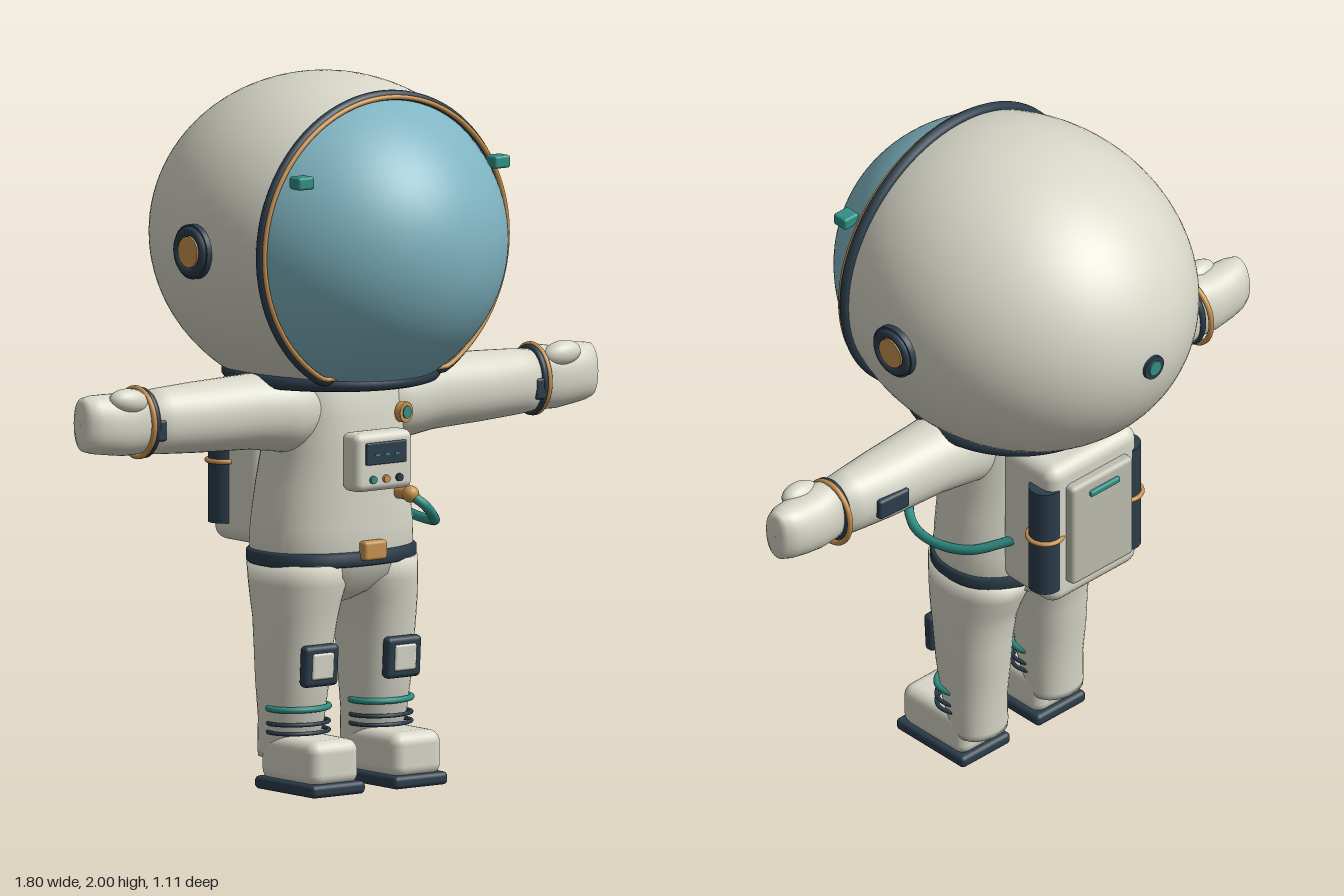
import * as THREE from 'three';
import { RoundedBoxGeometry } from 'three/addons/geometries/RoundedBoxGeometry.js';

const mat = (name, color) => new THREE.MeshStandardMaterial({ name, color });
const suit = mat('suit white', 0xd8d7c9);
const glass = mat('visor blue', 0x7fb4c2);
const navy = mat('navy trim', 0x2b3d4b);
const orange = mat('copper', 0xc8924f);
const teal = mat('teal', 0x2f8f84);
const grey = mat('panel grey', 0xbcbcaf);

// Skin over cross-sections [t, cu, cv, ru, rv]; stands along y, or along x when side is +1 / -1
function loft(rows, side = 0, p = 0.88, n = 40) {
  const pos = [], idx = [];
  const first = rows[0], last = rows[rows.length - 1];
  const all = [[first[0], first[1], first[2], 0.001, 0.001], ...rows, [last[0], last[1], last[2], 0.001, 0.001]];
  const pw = (c) => Math.sign(c) * Math.abs(c) ** p;
  all.forEach(([t, cu, cv, ru, rv], i) => {
    for (let j = 0; j < n; j++) {
      const a = (j / n) * Math.PI * 2;
      const u = cu + ru * pw(Math.cos(a)), v = cv + rv * pw(Math.sin(a));
      pos.push(...(side ? [t * side, v, u] : [u, t, v]));
      if (i === all.length - 1) continue;
      const k = (j + 1) % n, A = i * n + j, B = i * n + k, C = A + n, D = B + n;
      idx.push(...(side < 0 ? [A, B, C, B, D, C] : [A, C, B, B, C, D]));
    }
  });
  const g = new THREE.BufferGeometry();
  g.setAttribute('position', new THREE.Float32BufferAttribute(pos, 3));
  g.setIndex(idx);
  g.computeVertexNormals();
  return g;
}

// Closed tube around an ellipse given by a point function of the angle
function hoop(point, r, n = 72) {
  const pts = [];
  for (let i = 0; i < n; i++) pts.push(new THREE.Vector3(...point((i / n) * Math.PI * 2)));
  return new THREE.TubeGeometry(new THREE.CatmullRomCurve3(pts, true), n * 2, r, 10, true);
}

const box = (w, h, d, r = 0.01) => new RoundedBoxGeometry(w, h, d, 3, r);
const disc = (r, h) => new THREE.CylinderGeometry(r, r, h, 32);

// Part of the helmet ellipsoid around the z axis, flattened at the neck
function helmetPart(from, to) {
  const g = new THREE.SphereGeometry(1, 80, 40, 0, Math.PI * 2, from, to - from);
  g.rotateX(Math.PI / 2).scale(0.47, 0.46, 0.55).translate(0, 1.54, 0);
  const p = g.attributes.position, nm = g.attributes.normal;
  for (let i = 0; i < p.count; i++) {
    if (p.getY(i) < 1.165) {
      p.setY(i, 1.165);
      nm.setXYZ(i, 0, -1, 0);
    }
  }
  return g;
}

export function createModel() {
  const model = new THREE.Group();
  model.name = 'astronaut';
  const add = (name, geo, material, x = 0, y = 0, z = 0, rx = 0, ry = 0, rz = 0) => {
    const m = new THREE.Mesh(geo, material);
    m.name = name;
    m.position.set(x, y, z);
    m.rotation.set(rx, ry, rz);
    model.add(m);
    return m;
  };
  const H = Math.PI / 2;

  // Helmet
  const cut = Math.acos(0.25 / 0.55);
  add('visor', helmetPart(0, cut), glass);
  add('helmetShell', helmetPart(cut, Math.PI), suit);
  const rim = (rx, ry, z, low) => (a) => [rx * Math.cos(a), Math.max(low, 1.54 + ry * Math.sin(a)), z];
  add('visorRim', hoop(rim(0.425, 0.42, 0.245, 1.178), 0.016), navy);
  add('visorTrim', hoop(rim(0.427, 0.417, 0.262, 1.182), 0.007), orange);
  add('neckRing', hoop((a) => [0.28 * Math.cos(a), 1.163, 0.012 + 0.292 * Math.sin(a)], 0.022), navy);
  add('rearPort', disc(0.036, 0.03), navy, 0, 1.53, -0.543, H);
  add('rearPortCap', disc(0.022, 0.02), teal, 0, 1.53, -0.553, H);
  for (const s of [1, -1]) {
    add('earCap', disc(0.077, 0.04), navy, s * 0.462, 1.535, -0.005, 0, 0, H);
    add('earRing', new THREE.TorusGeometry(0.058, 0.014, 10, 36), navy, s * 0.481, 1.535, -0.005, 0, H);
    add('earButton', disc(0.044, 0.02), orange, s * 0.482, 1.535, -0.005, 0, 0, H);
    add('helmetLamp', box(0.055, 0.036, 0.05, 0.008), teal, s * 0.345, 1.755, 0.325);
  }

  // Torso with hips
  add('torso', loft([
    [0.52, 0, 0.01, 0.03, 0.06], [0.55, 0, 0.01, 0.09, 0.12], [0.6, 0, 0.012, 0.225, 0.162],
    [0.66, 0, 0.012, 0.243, 0.178], [0.74, 0, 0.012, 0.241, 0.178], [0.85, 0, 0.015, 0.225, 0.174],
    [0.95, 0, 0.018, 0.205, 0.17], [1.05, 0, 0.02, 0.203, 0.162], [1.13, 0, 0.02, 0.2, 0.15],
    [1.18, 0, 0.02, 0.18, 0.13]]), suit);
  add('belt', loft([
    [0.632, 0, 0.012, 0.245, 0.18], [0.64, 0, 0.012, 0.252, 0.188],
    [0.666, 0, 0.012, 0.252, 0.188], [0.674, 0, 0.012, 0.245, 0.18]]), navy);
  add('buckle', box(0.08, 0.055, 0.035), orange, 0, 0.677, 0.203);

  // Chest control box
  add('chestBox', box(0.2, 0.165, 0.08, 0.022), suit, 0, 0.933, 0.22);
  add('chestScreen', box(0.14, 0.062, 0.014, 0.004), navy, 0, 0.958, 0.261);
  [teal, orange, navy].forEach((m, i) => add('chestButton', disc(0.011, 0.014), m, (i - 1) * 0.046, 0.885, 0.262, H));
  for (const s of [-1, 0, 1]) add('screenMark', new THREE.BoxGeometry(0.016, 0.005, 0.004), teal, s * 0.035, 0.955, 0.268);
  add('badge', disc(0.029, 0.02), orange, 0.135, 1.05, 0.168, H, 0, -0.25);
  add('badgeCentre', disc(0.018, 0.024), teal, 0.136, 1.05, 0.169, H, 0, -0.25);

  // Air hose from the chest to the pack
  const hosePath = new THREE.CatmullRomCurve3([
    [0.11, 0.825, 0.235], [0.135, 0.8, 0.26], [0.19, 0.755, 0.235], [0.24, 0.735, 0.16],
    [0.255, 0.738, 0.06], [0.235, 0.765, -0.06], [0.16, 0.815, -0.16]].map((p) => new THREE.Vector3(...p)));
  add('hose', new THREE.TubeGeometry(hosePath, 60, 0.014, 12), teal);
  add('hoseConnector', new THREE.SphereGeometry(0.024, 20, 14), orange, 0.11, 0.828, 0.232);
  add('hoseStem', disc(0.018, 0.07), orange, 0.11, 0.828, 0.2, H);

  // Backpack
  add('backpack', box(0.34, 0.46, 0.215, 0.04), suit, 0, 0.895, -0.215);
  add('packPanel', box(0.235, 0.33, 0.05, 0.014), grey, 0, 0.897, -0.327);
  add('packStripe', box(0.11, 0.018, 0.014, 0.005), teal, 0, 1.02, -0.356);
  for (const s of [1, -1]) {
    add('airTank', disc(0.047, 0.34), navy, s * 0.152, 0.886, -0.276);
    add('tankBand', new THREE.TorusGeometry(0.05, 0.007, 10, 36), orange, s * 0.152, 0.89, -0.276, H);
  }

  for (const s of [1, -1]) {
    // Arm and mitten
    add('arm', loft([
      [0.08, 0.03, 1.07, 0.11, 0.1], [0.19, 0.03, 1.068, 0.118, 0.118], [0.24, 0.03, 1.07, 0.112, 0.112],
      [0.32, 0.03, 1.074, 0.102, 0.105], [0.5, 0.03, 1.075, 0.092, 0.099], [0.62, 0.032, 1.076, 0.078, 0.093],
      [0.69, 0.034, 1.076, 0.068, 0.088]], s, 0.95), suit);
    add('mitten', loft([
      [0.68, 0.034, 1.08, 0.062, 0.086], [0.71, 0.034, 1.083, 0.068, 0.092], [0.76, 0.034, 1.078, 0.07, 0.088],
      [0.82, 0.034, 1.083, 0.068, 0.085], [0.86, 0.034, 1.086, 0.06, 0.082], [0.888, 0.034, 1.088, 0.045, 0.076],
      [0.898, 0.034, 1.088, 0.025, 0.062]], s, 0.9), suit);
    const thumb = new THREE.SphereGeometry(1, 24, 16).scale(0.063, 0.036, 0.036);
    add('thumb', thumb, suit, s * 0.762, 1.148, 0.074, 0, 0, s * 0.12);
    add('wristBand', hoop((a) => [s * 0.682, 1.077 + 0.09 * Math.sin(a), 0.034 + 0.07 * Math.cos(a)], 0.01, 48), navy);
    add('wristRing', hoop((a) => [s * 0.695, 1.078 + 0.096 * Math.sin(a), 0.025 + 0.083 * Math.cos(a)], 0.008, 48), orange);
    add('cuffTab', box(0.035, 0.06, 0.03, 0.008), navy, s * 0.668, 1.06, 0.095);
    add('elbowPatch', box(0.11, 0.062, 0.03, 0.01), navy, s * 0.53, 1.07, -0.054, 0, s * -0.07);

    // Leg
    const x = s * 0.145;
    add('leg', loft([
      [0.09, x, -0.01, 0.08, 0.062], [0.11, x, 0.0, 0.085, 0.075], [0.2, x, 0.018, 0.09, 0.092],
      [0.3, x, 0.022, 0.096, 0.108], [0.4, s * 0.143, 0.025, 0.102, 0.117], [0.48, s * 0.139, 0.027, 0.108, 0.128],
      [0.53, s * 0.134, 0.024, 0.114, 0.14], [0.58, s * 0.126, 0.02, 0.119, 0.155],
      [0.64, s * 0.122, 0.015, 0.12, 0.165]], 0, 0.92), suit);
    [[0.232, teal, 0.009], [0.19, navy, 0.006], [0.165, navy, 0.006]].forEach(([y, m, r]) =>
      add('shinRing', hoop((a) => [x + 0.092 * Math.cos(a), y, 0.05 + 0.072 * Math.sin(a)], r, 40), m));
    add('kneePad', box(0.12, 0.118, 0.035, 0.014), navy, x, 0.358, 0.145, 0.06);
    add('kneePlate', box(0.076, 0.076, 0.02, 0.008), suit, x, 0.358, 0.157, 0.06);

    // Boot
    add('boot', box(0.172, 0.13, 0.255, 0.035), suit, x, 0.09, 0.103);
    add('sole', box(0.188, 0.037, 0.275, 0.014), navy, x, 0.0185, 0.103);
  }
  return model;
}
